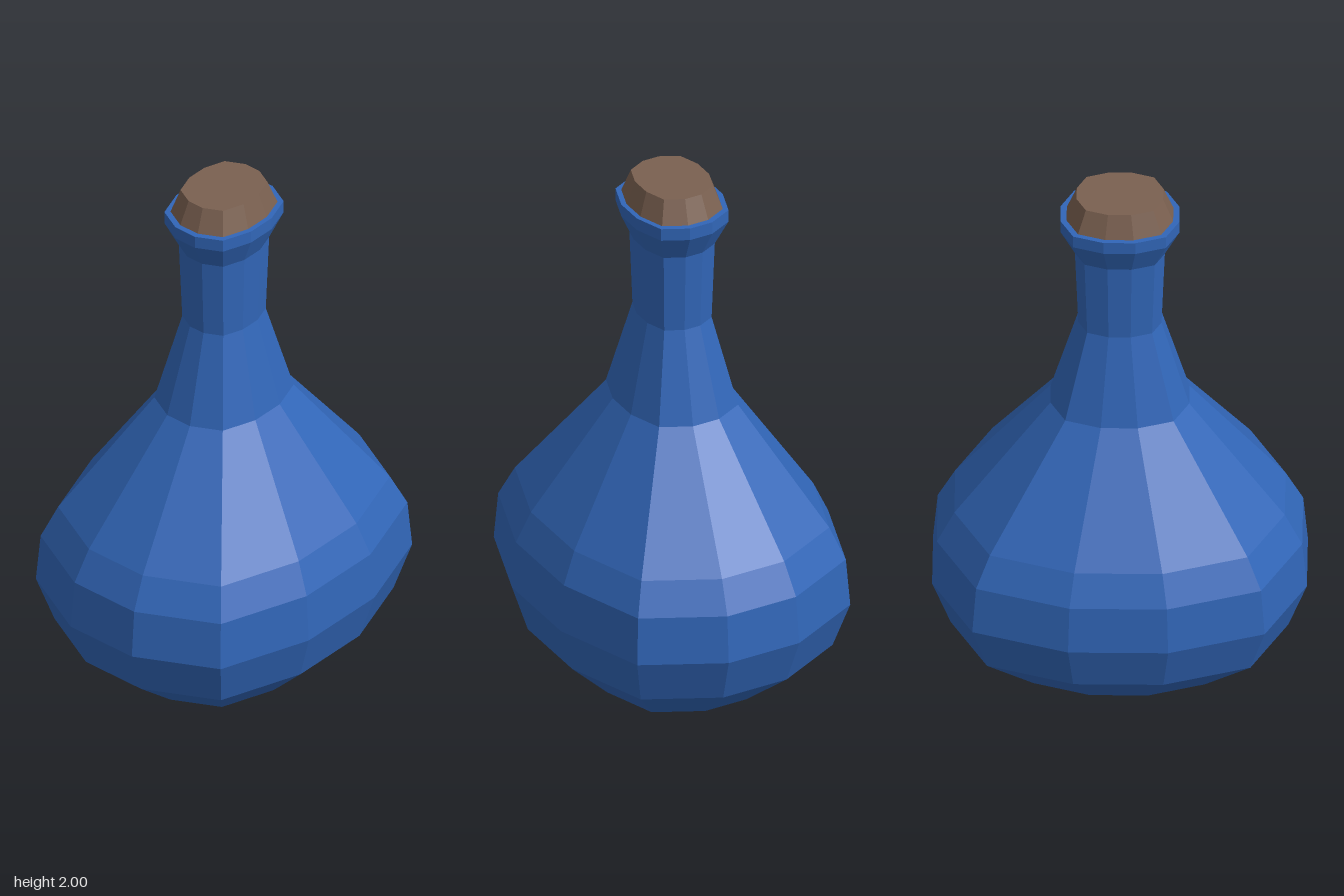
import * as THREE from 'three';

const DEPTH = 0.83; // the body is an oval, narrower from front to back

// Twelve-sided oval outline as unit [x, z] pairs, one quadrant mirrored round
const quadrant = [[0.267, 1], [0.78, 0.786], [1, 0.26]];
const ring = [
  ...quadrant,
  ...[...quadrant].reverse().map(([x, z]) => [x, -z]),
  ...quadrant.map(([x, z]) => [-x, -z]),
  ...[...quadrant].reverse().map(([x, z]) => [-x, z]),
];

// Lathe a [halfWidth, height] profile, then move each column onto the oval
function facetedLathe(name, profile, material) {
  const points = profile.map(([r, y]) => new THREE.Vector2(r, y));
  const lathe = new THREE.LatheGeometry(points, ring.length);
  const pos = lathe.attributes.position;
  for (let k = 0; k < pos.count; k++) {
    const [x, z] = ring[Math.floor(k / profile.length) % ring.length];
    const [r, y] = profile[k % profile.length];
    pos.setXYZ(k, x * r, y, z * r * DEPTH);
  }
  const geometry = lathe.toNonIndexed();
  geometry.computeVertexNormals(); // flat facets
  const mesh = new THREE.Mesh(geometry, material);
  mesh.name = name;
  return mesh;
}

export function createModel() {
  const glass = new THREE.MeshStandardMaterial({ color: 0x3166b8 });
  glass.name = 'blueGlass';
  const cork = new THREE.MeshStandardMaterial({ color: 0x7a6050 });
  cork.name = 'brownCork';

  const model = new THREE.Group();
  model.name = 'bottle';

  // Closed base, round belly, shoulder, neck and flared lip
  model.add(facetedLathe('bottleBody', [
    [0, 0], [0.395, 0], [0.608, 0.178], [0.675, 0.36], [0.658, 0.545],
    [0.595, 0.665], [0.25, 1.105], [0.15, 1.45], [0.162, 1.76],
    [0.214, 1.862], [0.214, 1.91], [0.19, 1.91], [0.18, 1.86],
  ], glass));

  // Tapered stopper seated in the lip
  model.add(facetedLathe('stopper', [
    [0, 1.87], [0.194, 1.87], [0.194, 1.905], [0.156, 2], [0, 2],
  ], cork));

  return model;
}
